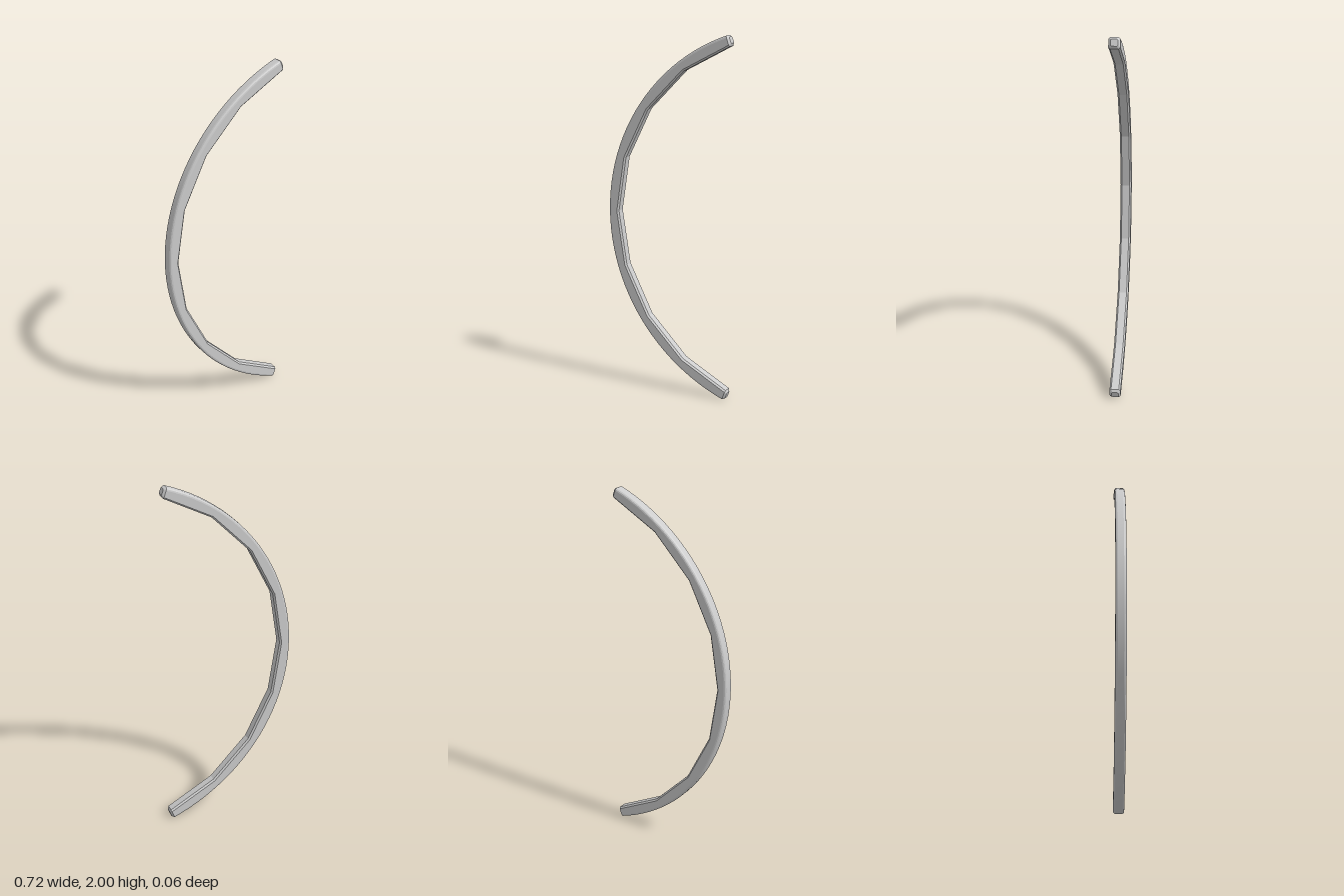
import * as THREE from 'three';
import { toCreasedNormals } from 'three/addons/utils/BufferGeometryUtils.js';

const CX = 0.702, CY = 1;          // centre of the arc
const R_OUT = 1.065, R_IN = 1.007; // smooth outer radius, radius of inner corners
const HALF_Z = 0.03;
const SEGMENTS = 8, STEPS = 6;
const SEG = THREE.MathUtils.degToRad(17.6);
const END = SEG * SEGMENTS / 2;
const BEVEL = 0.011;

// The inner edge is a polygon with one straight side per segment
function innerRadius(t) {
  const local = t - Math.floor(t / SEG + 1e-6) * SEG;
  return R_IN * Math.cos(SEG / 2) / Math.cos(local - SEG / 2);
}

// Cross-section as [radius, z]: rounded outer corners, chamfered inner corners
function section(t, inset = 0) {
  const ro = R_OUT - inset, ri = innerRadius(t) + inset, h = HALF_Z - inset;
  const c = 0.014 - inset * 0.4, k = 0.009 - inset * 0.3;
  const pts = [];
  for (let i = 3; i >= 0; i--) {
    const a = i * Math.PI / 6;
    pts.push([ro - c + c * Math.cos(Math.PI / 2 - a), 0, a]);
  }
  const corner = [0, 1, 2, 3].map((i) => {
    const a = i * Math.PI / 6;
    return [ro - c + c * Math.cos(a), h - c + c * Math.sin(a)];
  });
  const front = [...corner, [ri + k, h], [ri, h - k]];
  const back = front.map(([r, z]) => [r, -z]).reverse();
  return [...front, ...back];
}

function arcGeometry() {
  // Rings along the arc, with a smaller ring at each end for the bevel
  const total = SEGMENTS * STEPS, rings = [];
  const addRing = (t, inset) => rings.push(section(t, inset).map(([r, z]) =>
    new THREE.Vector3(CX - r * Math.cos(t), CY + r * Math.sin(t), z)));
  const trim = END - BEVEL;
  addRing(-END, BEVEL);
  for (let i = 0; i <= total; i++) {
    addRing(THREE.MathUtils.clamp(-END + i * SEG / STEPS, -trim, trim), 0);
  }
  addRing(END - 1e-5, BEVEL);

  const pos = [];
  const tri = (...vs) => vs.forEach((v) => pos.push(v.x, v.y, v.z));
  const n = rings[0].length;
  for (let i = 0; i < rings.length - 1; i++) {
    for (let j = 0; j < n; j++) {
      const k = (j + 1) % n;
      const a = rings[i][j], b = rings[i][k], c = rings[i + 1][k], d = rings[i + 1][j];
      tri(a, b, c);
      tri(a, c, d);
    }
  }
  // End caps
  const first = rings[0], last = rings[rings.length - 1];
  const middle = (ring) => ring.reduce((s, v) => s.add(v), new THREE.Vector3()).divideScalar(n);
  const m0 = middle(first), m1 = middle(last);
  for (let j = 0; j < n; j++) {
    const k = (j + 1) % n;
    tri(m0, first[k], first[j]);
    tri(m1, last[j], last[k]);
  }
  const geo = new THREE.BufferGeometry();
  geo.setAttribute('position', new THREE.Float32BufferAttribute(pos, 3));
  return toCreasedNormals(geo, 0.25);
}

export function createModel() {
  const group = new THREE.Group();
  group.name = 'curvedBar';
  const bar = new THREE.Mesh(arcGeometry(), new THREE.MeshStandardMaterial({ color: 0xcccccc }));
  bar.name = 'facetedArc';
  group.add(bar);
  return group;
}
